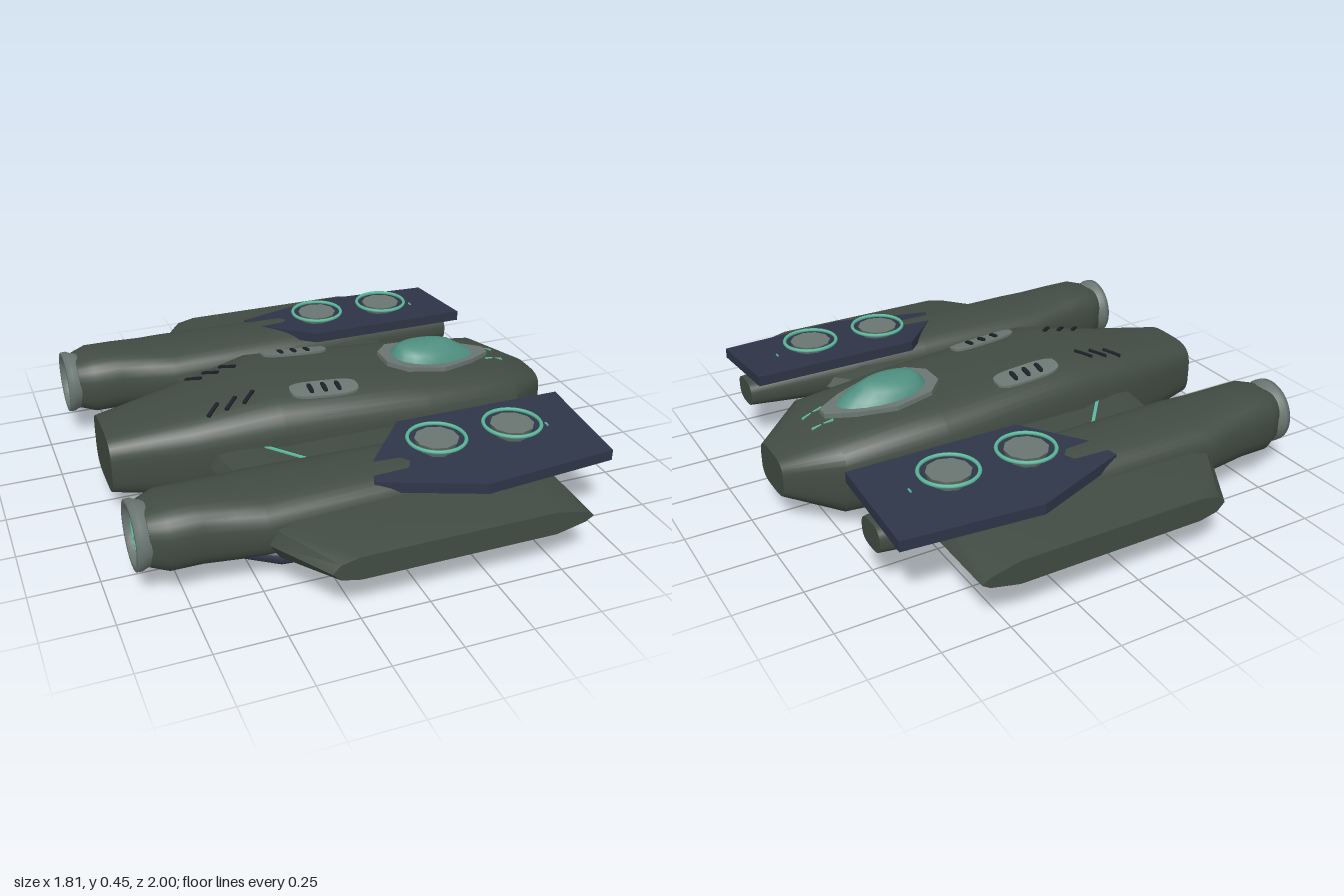
import * as THREE from 'three';
import { toCreasedNormals } from 'three/addons/utils/BufferGeometryUtils.js';

const V = (x, y, z) => new THREE.Vector3(x, y, z);
const paint = (name, color) => {
  const m = new THREE.MeshStandardMaterial({ color });
  m.name = name;
  return m;
};

// Closed, capped skin through rings of equal point count; winding is fixed by signed volume.
function loft(rings, crease = 0.6) {
  const n = rings[0].length, tris = [];
  for (let r = 0; r < rings.length - 1; r++) {
    for (let i = 0; i < n; i++) {
      const j = (i + 1) % n, a = rings[r], b = rings[r + 1];
      tris.push([a[i], a[j], b[j]], [a[i], b[j], b[i]]);
    }
  }
  [rings[0], rings[rings.length - 1]].forEach((ring, end) => {
    const c = ring.reduce((s, p) => s.add(p), V(0, 0, 0)).divideScalar(n);
    for (let i = 0; i < n; i++) {
      const j = (i + 1) % n;
      tris.push(end ? [c, ring[i], ring[j]] : [c, ring[j], ring[i]]);
    }
  });
  const volume = tris.reduce((s, [a, b, c]) => s + a.dot(b.clone().cross(c)), 0);
  const pos = [];
  for (const t of tris) for (const p of volume < 0 ? [t[0], t[2], t[1]] : t) pos.push(p.x, p.y, p.z);
  const g = new THREE.BufferGeometry();
  g.setAttribute('position', new THREE.Float32BufferAttribute(pos, 3));
  return toCreasedNormals(g, crease);
}

// Rounded-box cross-sections [x, bottom, top, halfWidth] along x
function body(sections, power, z = 0, n = 32) {
  const f = (v) => Math.sign(v) * Math.abs(v) ** (2 / power);
  return loft(sections.map(([x, b, t, w]) => Array.from({ length: n }, (_, i) => {
    const a = (i / n) * Math.PI * 2;
    return V(x, (b + t) / 2 + f(Math.sin(a)) * (t - b) / 2, z + f(Math.cos(a)) * w);
  })));
}

const FUSELAGE = [[-0.87, 0.09, 0.325, 0.15], [-0.57, 0.045, 0.37, 0.22], [-0.25, 0.03, 0.43, 0.29],
  [0.33, 0.015, 0.388, 0.29], [0.72, 0.042, 0.35, 0.26], [0.905, 0.11, 0.265, 0.11]];
const POWER = 3.6;

// Height of the fuselage skin, up = 1 for the back and -1 for the belly
function skinY(x, z, up) {
  let i = 0;
  while (i < FUSELAGE.length - 2 && x > FUSELAGE[i + 1][0]) i++;
  const p = FUSELAGE[i], q = FUSELAGE[i + 1], k = (x - p[0]) / (q[0] - p[0]);
  const [, b, t, w] = p.map((v, j) => v + (q[j] - v) * k);
  return (b + t) / 2 + up * (t - b) / 2 * Math.max(0, 1 - Math.abs(z / w) ** POWER) ** (1 / POWER);
}

// Thin plate that follows the fuselage skin
const decal = (outline, up, rise) => loft([-0.012, rise].map((d) =>
  outline.map(([x, z]) => V(x, skinY(x, z, up) + up * d, z))), 0.4);

// Strip outline from one point to another
function strip(x0, z0, x1, z1, w) {
  const l = Math.hypot(x1 - x0, z1 - z0), u = -(z1 - z0) / l * w / 2, v = (x1 - x0) / l * w / 2;
  return [[x0 + u, z0 + v], [x1 + u, z1 + v], [x1 - u, z1 - v], [x0 - u, z0 - v]];
}

// Rounded lozenge outline
const lozenge = (x, z, hx, hz) => Array.from({ length: 20 }, (_, i) => {
  const a = (i / 20) * Math.PI * 2, c = Math.cos(a), s = Math.sin(a);
  return [x + hx * Math.sign(c) * Math.abs(c) ** 0.6, z + hz * Math.sign(s) * Math.abs(s) ** 0.6];
});

export function createModel() {
  const hull = paint('hull green', 0x414b43), navy = paint('navy armour', 0x2e3547);
  const gray = paint('gray metal', 0x6a7672), teal = paint('teal glow', 0x5cb89c);
  const glass = paint('canopy glass', 0x4f8f80), dark = paint('dark slot', 0x1a2026);
  const ship = new THREE.Group();
  ship.name = 'spacecraft';
  const add = (name, geo, mat, x = 0, y = 0, z = 0) => {
    const m = new THREE.Mesh(geo, mat);
    m.name = name;
    m.position.set(x, y, z);
    ship.add(m);
    return m;
  };

  add('fuselage', body(FUSELAGE, POWER, 0, 40), hull);

  // Cockpit
  const half = [[0.7, 0.025], [0.6, 0.085], [0.46, 0.135], [0.31, 0.115], [0.25, 0.05]];
  add('cockpitFrame', decal([...half, ...half.map(([x, z]) => [x, -z]).reverse()], 1, 0.018), gray);
  const glassRings = [[0.36, 0.265, 0.66, 0.108], [0.4, 0.285, 0.61, 0.1], [0.425, 0.305, 0.565, 0.08],
    [0.442, 0.32, 0.54, 0.058], [0.45, 0.345, 0.515, 0.03]];
  add('canopy', loft(glassRings.map(([y, x0, x1, w]) => Array.from({ length: 20 }, (_, i) => {
    const a = (i / 20) * Math.PI * 2;
    return V((x0 + x1) / 2 + Math.cos(a) * (x1 - x0) / 2, y, Math.sin(a) * w * (1 - 0.15 * Math.cos(a)));
  })), 0.9), glass);

  for (const s of [1, -1]) {
    const Z = 0.595 * s;

    // Back and belly vents with slots
    for (const [x, z, up, hx] of [[-0.06, 0.17, 1, 0.135], [0.03, 0.1, -1, 0.1], [0.32, 0.09, -1, 0.1]]) {
      add('vent', decal(lozenge(x, z * s, hx, 0.045), up, 0.009), gray);
      for (const d of [-0.055, 0, 0.055]) {
        add('ventSlot', decal(lozenge(x + d, z * s, 0.009, 0.026), up, 0.013), dark);
      }
    }
    for (let i = 0; i < 3; i++) {
      const x = -0.505 + i * 0.068;
      add('gill', decal(strip(x, 0.16 * s, x + 0.05, 0.11 * s, 0.014), 1, 0.008), dark);
    }
    add('noseLine', decal(strip(0.68, 0.055 * s, 0.76, 0.045 * s, 0.008), 1, 0.006), teal);
    add('bellyLine', decal(strip(-0.35, 0.17 * s, 0.5, 0.17 * s, 0.009), -1, 0.006), teal);

    // Wing: hexagonal sections [z, rear, front, bottom, top]
    const wing = [[0.2, -0.53, 0.28, 0.14, 0.265], [0.41, -0.505, 0.415, 0.14, 0.265], [0.62, -0.5, 0.605, 0.135, 0.265],
      [0.78, -0.48, 0.605, 0.135, 0.265], [1, -0.35, 0.605, 0.157, 0.245]];
    add('wing', loft(wing.map(([z, r, f, b, t]) => [[r, (b + t) / 2], [r + 0.03, t - 0.015], [r + 0.1, t], [f - 0.14, t],
      [f - 0.03, t - 0.025], [f, (b + t) / 2], [f - 0.03, b + 0.025], [f - 0.14, b], [r + 0.1, b], [r + 0.03, b + 0.015],
    ].map(([x, y]) => V(x, y, z * s)))), hull);
    const seam = strip(-0.34, 0.25 * s, -0.19, 0.43 * s, 0.012);
    for (const y of [0.265, 0.14]) {
      add('wingLine', loft([-0.005, 0.005].map((d) => seam.map(([x, z]) => V(x, y + d, z)))), teal);
    }

    // Engine nacelle
    add('nacelle', body([[-0.86, 0.125, 0.335, 0.11], [-0.8, 0.107, 0.352, 0.14], [-0.69, 0.107, 0.352, 0.14],
      [-0.57, 0.105, 0.342, 0.158], [-0.48, 0.11, 0.337, 0.178], [0.05, 0.115, 0.335, 0.163],
      [0.35, 0.13, 0.312, 0.125], [0.79, 0.165, 0.267, 0.07]], 2.8, Z), hull);

    // Nozzle: flared ring, dark inside, glowing rings and spokes
    const profile = [[0.095, -0.02], [0.108, -0.02], [0.116, 0.02], [0.123, 0.035], [0.122, 0.055], [0.1, 0.055], [0.09, 0.02]];
    const nozzle = add('nozzle', new THREE.LatheGeometry(profile.map(([r, y]) => new THREE.Vector2(r, y)), 32),
      gray, -0.85, 0.228, Z);
    nozzle.rotation.z = Math.PI / 2;
    gray.side = THREE.DoubleSide;
    add('nozzleCore', new THREE.CylinderGeometry(0.096, 0.096, 0.02, 24), dark, -0.865, 0.228, Z).rotation.z = Math.PI / 2;
    for (const r of [0.085, 0.045]) {
      add('nozzleGlow', new THREE.TorusGeometry(r, 0.008, 6, 28), teal, -0.878, 0.228, Z).rotation.y = Math.PI / 2;
    }
    for (let i = 0; i < 4; i++) {
      add('nozzleSpoke', new THREE.BoxGeometry(0.012, 0.17, 0.012), teal, -0.877, 0.228, Z).rotation.x = i * Math.PI / 4;
    }

    // Tilted armour plate above the nacelle
    const outline = [[0.79, 0.81], [0.28, 0.85], [-0.09, 0.72], [-0.05, 0.61], [0.13, 0.41], [0.79, 0.41]];
    add('armourPlate', loft([-0.04, 0].map((d) => outline.map(([x, z]) =>
      V(x, 0.355 - (z - 0.41) * 0.1 + d, z * s))), 0.3), navy);

    // Lift fans
    for (const x of [0.2, 0.5]) {
      add('fanHub', new THREE.CylinderGeometry(0.08, 0.065, 0.045, 10).toNonIndexed(), gray, x, 0.35, Z);
      const ring = add('fanRing', new THREE.TorusGeometry(0.104, 0.007, 6, 36), teal, x, 0.372, Z);
      ring.rotation.x = Math.PI / 2;
    }
    add('plateLight', new THREE.BoxGeometry(0.006, 0.006, 0.02), teal, 0.645, 0.338, Z);

    // Underslung pod with a light rod
    add('lowerPod', body([[-0.54, 0.07, 0.122, 0.06], [-0.42, 0.048, 0.13, 0.125], [-0.2, 0.043, 0.13, 0.142],
      [0.25, 0.043, 0.13, 0.142], [0.42, 0.052, 0.125, 0.105], [0.5, 0.07, 0.115, 0.06]], 2.8, Z, 24), navy);
    add('lightRod', new THREE.CylinderGeometry(0.012, 0.012, 0.815, 10), teal, -0.022, 0.034, Z).rotation.z = Math.PI / 2;
  }
  return ship;
}
